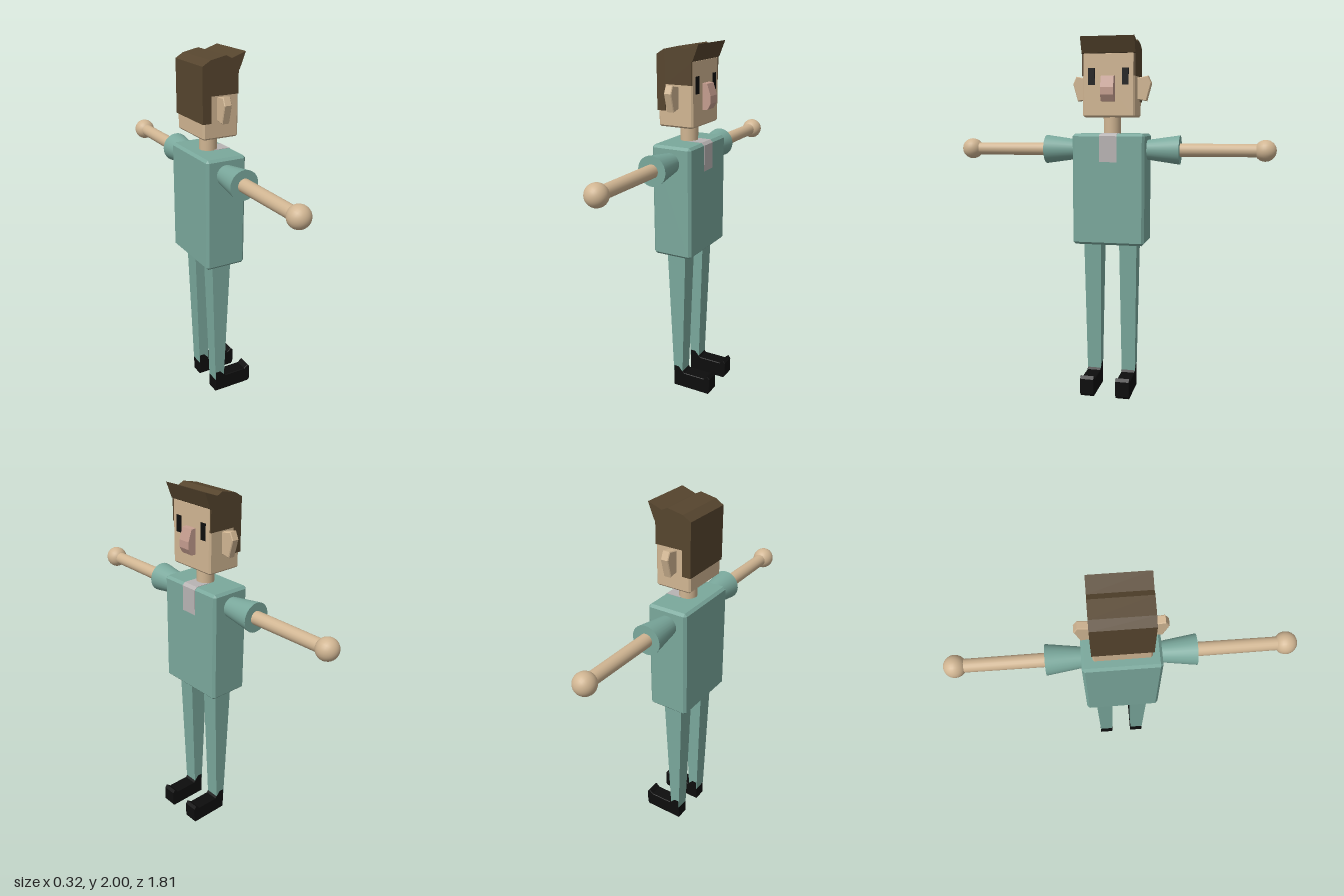
import * as THREE from 'three';
import { ConvexGeometry } from 'three/addons/geometries/ConvexGeometry.js';

const mat = (color, flatShading = true) => new THREE.MeshStandardMaterial({ color, flatShading });
const SKIN = 0xd0b592, TEAL = 0x7aa89c, HAIR = 0x56452e, BLACK = 0x0d0d0d;

// Box between two corners with all edges chamfered by c
function chamferBox([x0, y0, z0], [x1, y1, z1], c) {
  const mid = new THREE.Vector3(x0 + x1, y0 + y1, z0 + z1).multiplyScalar(0.5);
  const h = [(x1 - x0) / 2, (y1 - y0) / 2, (z1 - z0) / 2];
  const pts = [];
  for (const sx of [-1, 1]) for (const sy of [-1, 1]) for (const sz of [-1, 1])
    for (let axis = 0; axis < 3; axis++) {
      const e = h.map((v, i) => (i === axis ? v : v - c));
      pts.push(new THREE.Vector3(sx * e[0], sy * e[1], sz * e[2]).add(mid));
    }
  return new ConvexGeometry(pts);
}

// Side profile extruded along z, centred on z = 0
function slab(points, width, bevel = 0) {
  const shape = new THREE.Shape(points.map(([x, y]) => new THREE.Vector2(x, y)));
  const geo = new THREE.ExtrudeGeometry(shape, {
    depth: width - 2 * bevel, bevelEnabled: bevel > 0, bevelSegments: 1,
    bevelSize: bevel, bevelThickness: bevel, bevelOffset: -bevel,
  });
  return geo.translate(0, 0, bevel - width / 2);
}

// Four-sided leg that narrows towards the ankle
function legGeometry() {
  const geo = new THREE.BoxGeometry(1, 1, 1);
  const p = geo.attributes.position;
  for (let i = 0; i < p.count; i++) {
    const top = p.getY(i) > 0;
    p.setXYZ(i,
      (top ? -0.047 : -0.049) + p.getX(i) * (top ? 0.114 : 0.056),
      top ? 0.87 : 0.08,
      p.getZ(i) * (top ? 0.1 : 0.078));
  }
  geo.computeVertexNormals();
  return geo;
}

export function createModel() {
  const model = new THREE.Group();
  const add = (name, geo, material, x = 0, y = 0, z = 0, parent = model) => {
    const mesh = new THREE.Mesh(geo, material);
    mesh.name = name;
    mesh.position.set(x, y, z);
    parent.add(mesh);
    return mesh;
  };
  const skin = mat(SKIN), teal = mat(TEAL), black = mat(BLACK), hair = mat(HAIR);
  const skinSmooth = mat(SKIN, false), tealSmooth = mat(TEAL, false);

  // Torso, collar strip and neck
  add('torso', chamferBox([-0.163, 0.86, -0.203], [0.07, 1.48, 0.203], 0.014), teal);
  add('collar', slab([[-0.03, 1.47], [0.04, 1.47], [0.06, 1.45], [0.06, 1.325], [0.072, 1.325],
    [0.072, 1.467], [0.057, 1.482], [-0.03, 1.482]], 0.098), mat(0xb8b3b3));
  add('neck', new THREE.CylinderGeometry(0.048, 0.048, 0.14, 24), skinSmooth, -0.046, 1.53, 0);

  // Head with hair wrapping the top, sides and back
  add('head', chamferBox([-0.15, 1.57, -0.145], [0.053, 1.92, 0.145], 0.009), skin);
  add('hair', slab([[-0.155, 1.655], [-0.105, 1.655], [-0.105, 1.793], [0.05, 1.793], [0.05, 1.91],
    [0.056, 1.915], [0.09, 2], [0.01, 1.972], [-0.022, 1.988], [-0.11, 1.97], [-0.155, 1.943]], 0.298), hair);
  add('nose', slab([[0.04, 1.655], [0.082, 1.657], [0.101, 1.69], [0.101, 1.73], [0.08, 1.792],
    [0.04, 1.795]], 0.072), mat(0xc49c8e));

  const leg = legGeometry();
  const shoe = slab([[-0.077, 0], [0.15, 0], [0.16, 0.015], [0.16, 0.1], [0.147, 0.117], [0.122, 0.095],
    [-0.01, 0.095], [-0.045, 0.135], [-0.077, 0.135]], 0.08, 0.003);
  const ear = slab([[0.13, 1.67], [0.195, 1.658], [0.222, 1.755], [0.203, 1.796], [0.13, 1.782]], 0.043, 0.004);

  for (const s of [1, -1]) {
    const side = s > 0 ? 'Left' : 'Right';

    // Face details
    add('eye' + side, new THREE.BoxGeometry(0.012, 0.09, 0.037), black, 0.05, 1.79, s * 0.094);
    add('ear' + side, ear, skin, -0.05).rotation.y = -s * Math.PI / 2;

    // Arm stretched sideways with flared sleeve and ball hand
    const arm = new THREE.Group();
    arm.name = 'arm' + side;
    arm.position.set(-0.05, 1.39, 0);
    arm.rotation.x = s * Math.PI / 2;
    add('sleeve', new THREE.CylinderGeometry(0.081, 0.052, 0.205, 28), tealSmooth, 0, 0.282, 0, arm);
    add('forearm', new THREE.CylinderGeometry(0.035, 0.037, 0.5, 20), skinSmooth, 0, 0.6, 0, arm);
    add('hand', new THREE.SphereGeometry(0.059, 24, 16), skinSmooth, 0, 0.845, 0, arm);
    model.add(arm);

    // Leg and shoe
    add('leg' + side, leg, teal, 0, 0, s * 0.102);
    add('shoe' + side, shoe, black, 0, 0, s * 0.102);
  }
  return model;
}
